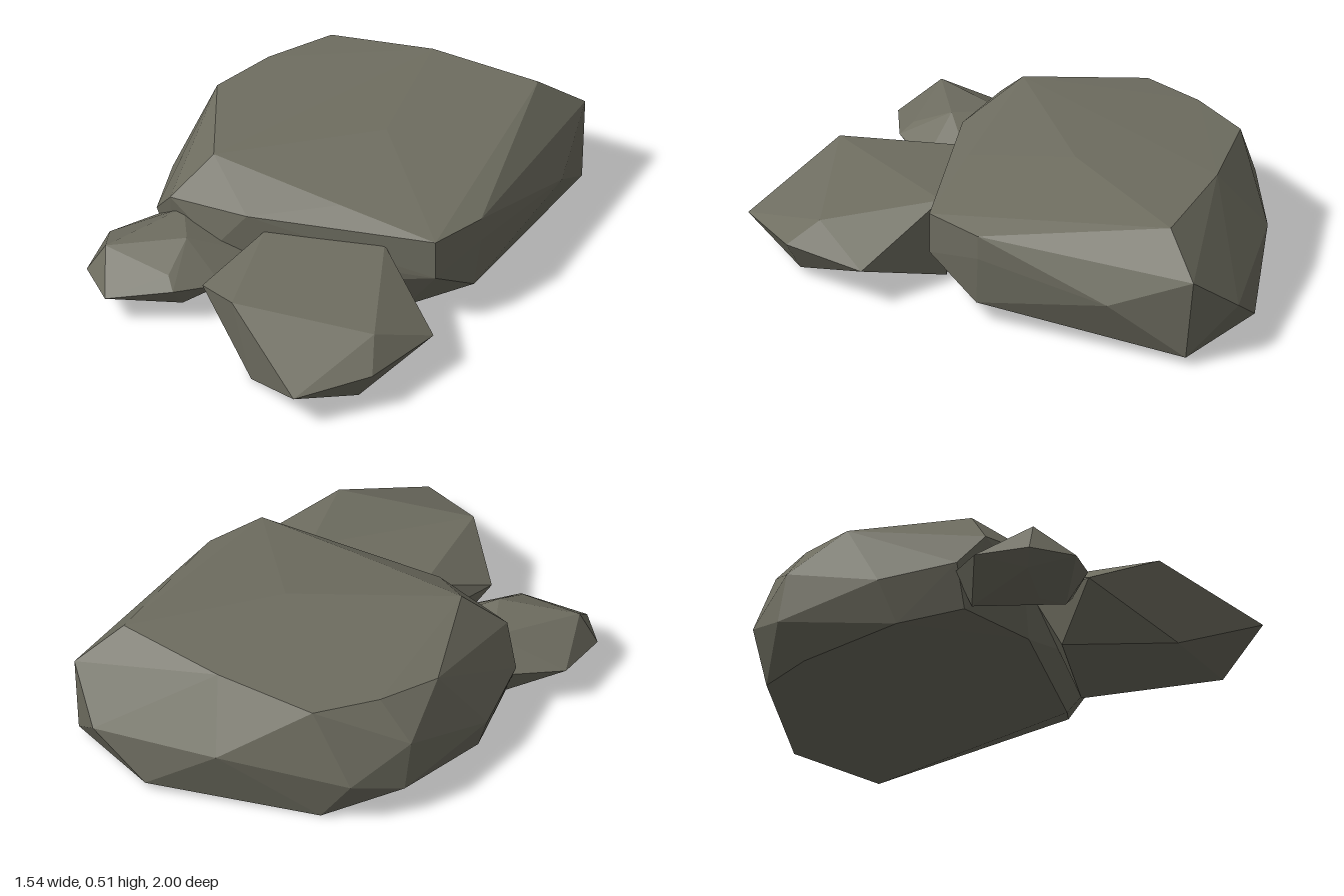
import * as THREE from 'three';
import { ConvexGeometry } from 'three/addons/geometries/ConvexGeometry.js';

// Each boulder is the faceted hull of a few corner points [x, y, z].
const largeBoulder = [
  // flat top
  [0.30, 0.515, -0.76], [-0.15, 0.5, -0.66], [-0.53, 0.465, -0.5], [-0.62, 0.46, -0.24],
  [-0.65, 0.455, 0.02], [-0.34, 0.487, 0.385], [0.07, 0.512, -0.15], [0.2, 0.445, 0.26],
  // upper shoulder
  [0.39, 0.37, -0.93], [0.62, 0.4, -0.08], [0.6, 0.41, 0.16], [-0.08, 0.375, 0.485],
  [-0.42, 0.33, 0.545], [-0.76, 0.31, -0.2],
  // waist
  [0.19, 0.2, -1.0], [0.54, 0.24, -0.63], [0.62, 0.3, -0.08], [0.6, 0.24, 0.16],
  [-0.53, 0.2, 0.5], [-0.2, 0.2, 0.53], [-0.69, 0.165, 0.23], [-0.77, 0.12, -0.24],
  [-0.7, 0.18, -0.45], [-0.3, 0.25, -0.79],
  // underside
  [0.4, 0.035, -0.9], [-0.03, 0.03, -0.92], [-0.24, 0.0, -0.6], [-0.58, 0.0, -0.5],
  [0.6, 0.09, -0.06], [0.42, 0.0, 0.12], [-0.1, 0.03, 0.45], [-0.47, 0.03, 0.48],
  [-0.61, 0.0, 0.25], [-0.63, 0.0, -0.24],
];

const mediumBoulder = [
  // top
  [0.19, 0.315, 0.87], [-0.02, 0.315, 0.45], [0.41, 0.35, 0.24], [0.69, 0.27, 0.61],
  // waist
  [-0.07, 0.2, 0.75], [-0.07, 0.19, 0.46], [0.62, 0.14, 0.995], [0.77, 0.165, 0.71],
  [0.77, 0.165, 0.36],
  // underside
  [0.29, 0.0, 0.87], [-0.02, 0.0, 0.55], [0.4, 0.02, 0.22], [0.69, 0.03, 0.7],
];

const smallBoulder = [
  // top
  [-0.47, 0.25, 0.86], [-0.24, 0.285, 0.65], [-0.39, 0.27, 0.5], [-0.2, 0.21, 0.8],
  // waist
  [-0.61, 0.145, 0.68], [-0.52, 0.17, 0.48], [-0.09, 0.19, 0.46], [-0.06, 0.15, 0.65],
  [-0.15, 0.17, 0.83], [-0.36, 0.12, 0.985], [-0.53, 0.13, 0.9],
  // underside
  [-0.33, 0.03, 0.75], [-0.18, 0.055, 0.74], [-0.48, 0.08, 0.84], [-0.45, 0.04, 0.5],
];

export function createModel() {
  const stone = new THREE.MeshStandardMaterial({ color: 0x6e6d60 });
  stone.name = 'stone';

  const group = new THREE.Group();
  group.name = 'boulders';
  for (const [name, corners] of Object.entries({ largeBoulder, mediumBoulder, smallBoulder })) {
    const geometry = new ConvexGeometry(corners.map((c) => new THREE.Vector3(...c)));
    const mesh = new THREE.Mesh(geometry, stone);
    mesh.name = name;
    group.add(mesh);
  }
  return group;
}
